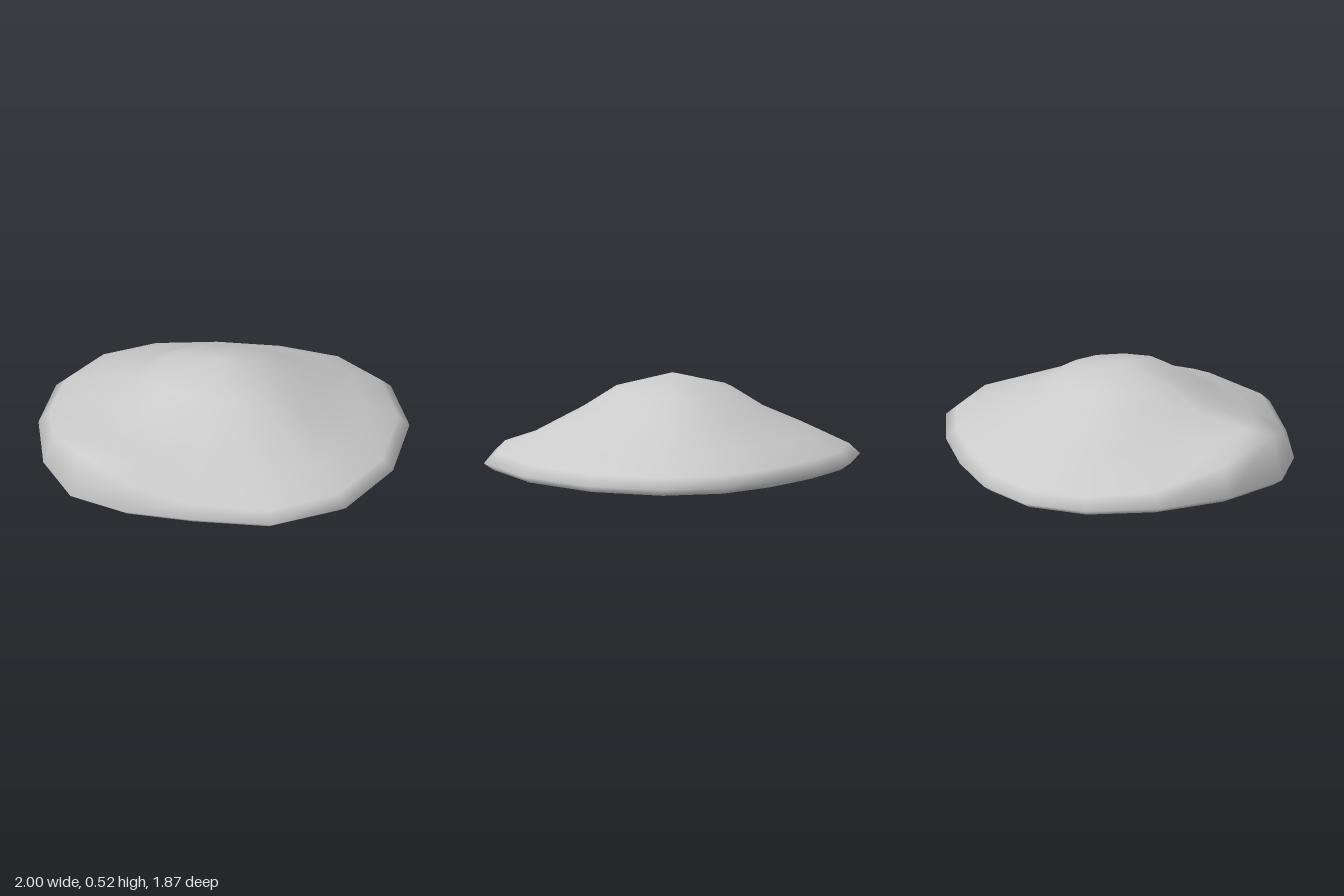
import * as THREE from 'three';

// Widest outline of the mound, x and z, going round from the back
const outline = [
  [-0.03, -0.94], [0.33, -0.89], [0.66, -0.77], [0.90, -0.51],
  [0.995, -0.10], [0.90, 0.37], [0.64, 0.76], [0.24, 0.93],
  [-0.19, 0.87], [-0.56, 0.78], [-0.84, 0.61], [-0.98, 0.26],
  [-1.0, -0.16], [-0.90, -0.54], [-0.68, -0.81], [-0.38, -0.93],
];
const peak = [-0.035, 0.52, -0.02];

// Rings from underside to summit: scale, height, and height offsets per outline corner
const rings = [
  { s: 0.8, y: 0 },
  { s: 0.945, y: 0.014 },
  { s: 1, y: 0.053 },
  { s: 0.94, y: 0.11, lift: { 8: 0.01, 9: 0.09, 10: 0.185, 11: 0.1, 12: 0.02 } },
  { s: 0.77, y: 0.195, lift: { 5: -0.025, 7: -0.025, 9: 0.04, 10: 0.1, 11: 0.05 } },
  { s: 0.495, y: 0.32 },
  { s: 0.315, y: 0.437 },
];

export function createModel() {
  const n = outline.length;
  const positions = [];
  const index = [];

  for (const { s, y, lift = {} } of rings) {
    outline.forEach(([x, z], i) => positions.push(
      THREE.MathUtils.lerp(peak[0], x, s),
      y + (lift[i] ?? 0),
      THREE.MathUtils.lerp(peak[2], z, s),
    ));
  }
  const bottom = rings.length * n;
  const top = bottom + 1;
  positions.push(peak[0], 0, peak[2], ...peak);

  for (let i = 0; i < n; i++) {
    const j = (i + 1) % n;
    // Flank between neighbouring rings
    for (let r = 0; r < rings.length - 1; r++) {
      const a = r * n + i, b = r * n + j;
      index.push(a, a + n, b, b, a + n, b + n);
    }
    // Underside and summit fans
    const last = (rings.length - 1) * n;
    index.push(bottom, i, j, top, last + j, last + i);
  }

  const geometry = new THREE.BufferGeometry();
  geometry.setAttribute('position', new THREE.Float32BufferAttribute(positions, 3));
  geometry.setIndex(index);
  geometry.computeVertexNormals();

  const mound = new THREE.Mesh(geometry, new THREE.MeshStandardMaterial({ color: 0xcccccc }));
  mound.name = 'mound';
  const group = new THREE.Group();
  group.name = 'rockMound';
  group.add(mound);
  return group;
}
